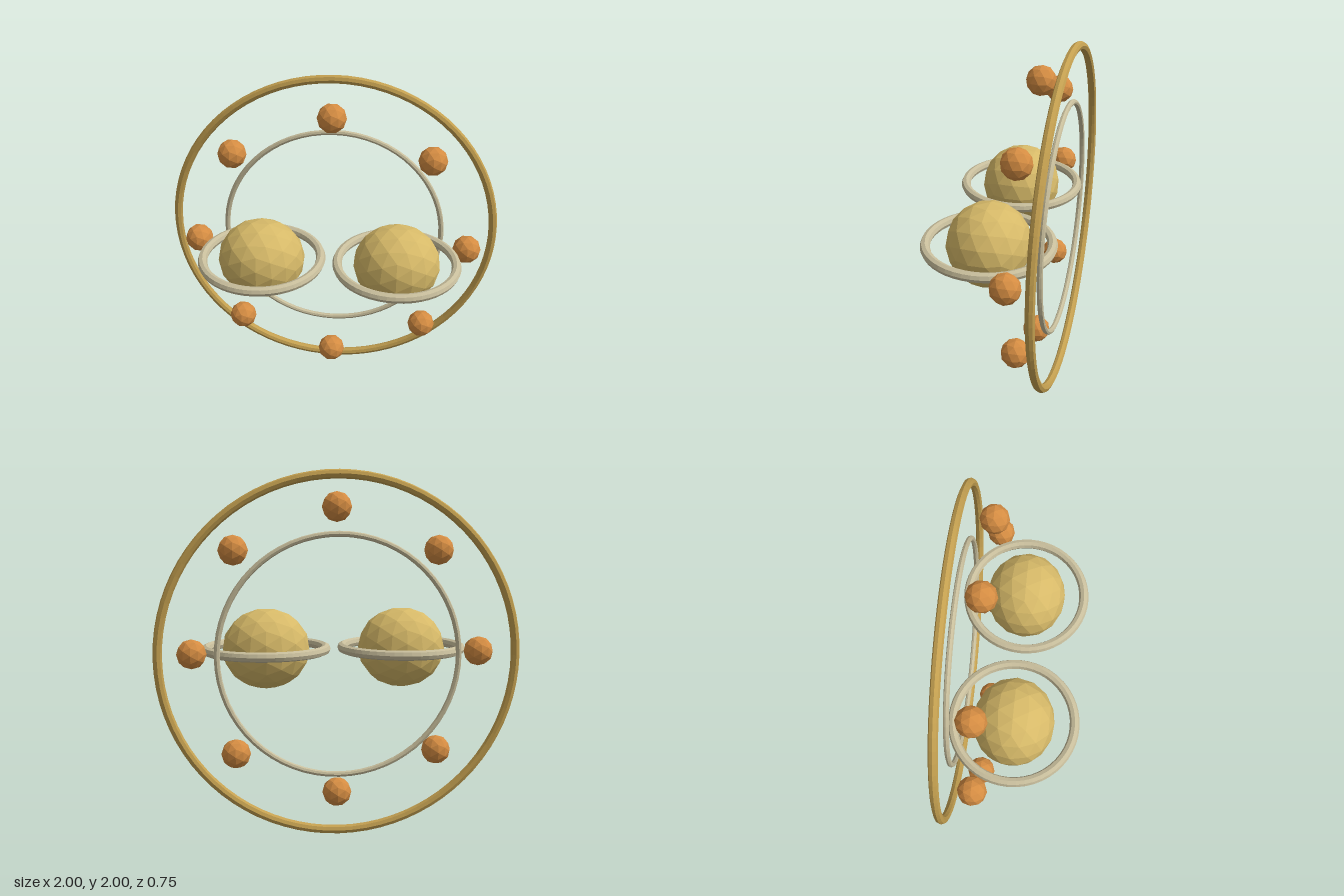
import * as THREE from 'three';

const material = (name, color) => {
  const m = new THREE.MeshStandardMaterial({ color, flatShading: true });
  m.name = name;
  return m;
};

export function createModel() {
  const group = new THREE.Group();
  const paleGold = material('pale gold', 0xd6b968);
  const brass = material('brass', 0xc4a050);
  const silver = material('warm silver', 0xc8be9c);
  const copper = material('copper', 0xd48c42);

  const add = (name, geometry, mat, x, y, z) => {
    const mesh = new THREE.Mesh(geometry, mat);
    mesh.name = name;
    mesh.position.set(x, y, z);
    group.add(mesh);
    return mesh;
  };

  // Upright hoops at the back
  add('outerHoop', new THREE.TorusGeometry(0.975, 0.025, 8, 80), brass, 0, 1, -0.355);
  add('innerHoop', new THREE.TorusGeometry(0.662, 0.016, 8, 64), silver, 0, 1, -0.338);

  // Pair of slightly widened globes, each with a level ring
  const globe = new THREE.IcosahedronGeometry(0.235, 2).scale(1.08, 1, 1);
  const ring = new THREE.TorusGeometry(0.347, 0.028, 8, 48).rotateX(Math.PI / 2);
  for (const [side, x] of [['left', 0.396], ['right', -0.396]]) {
    add(side + 'Globe', globe, paleGold, x, 1, 0);
    add(side + 'GlobeRing', ring, silver, x, 1, 0);
  }

  // Eight beads in a circle in front of the hoops
  const bead = new THREE.IcosahedronGeometry(0.084, 1);
  for (let i = 0; i < 8; i++) {
    const a = (i * Math.PI) / 4;
    add('bead' + (i + 1), bead, copper, 0.81 * Math.cos(a), 1 + 0.81 * Math.sin(a), -0.193);
  }
  return group;
}
